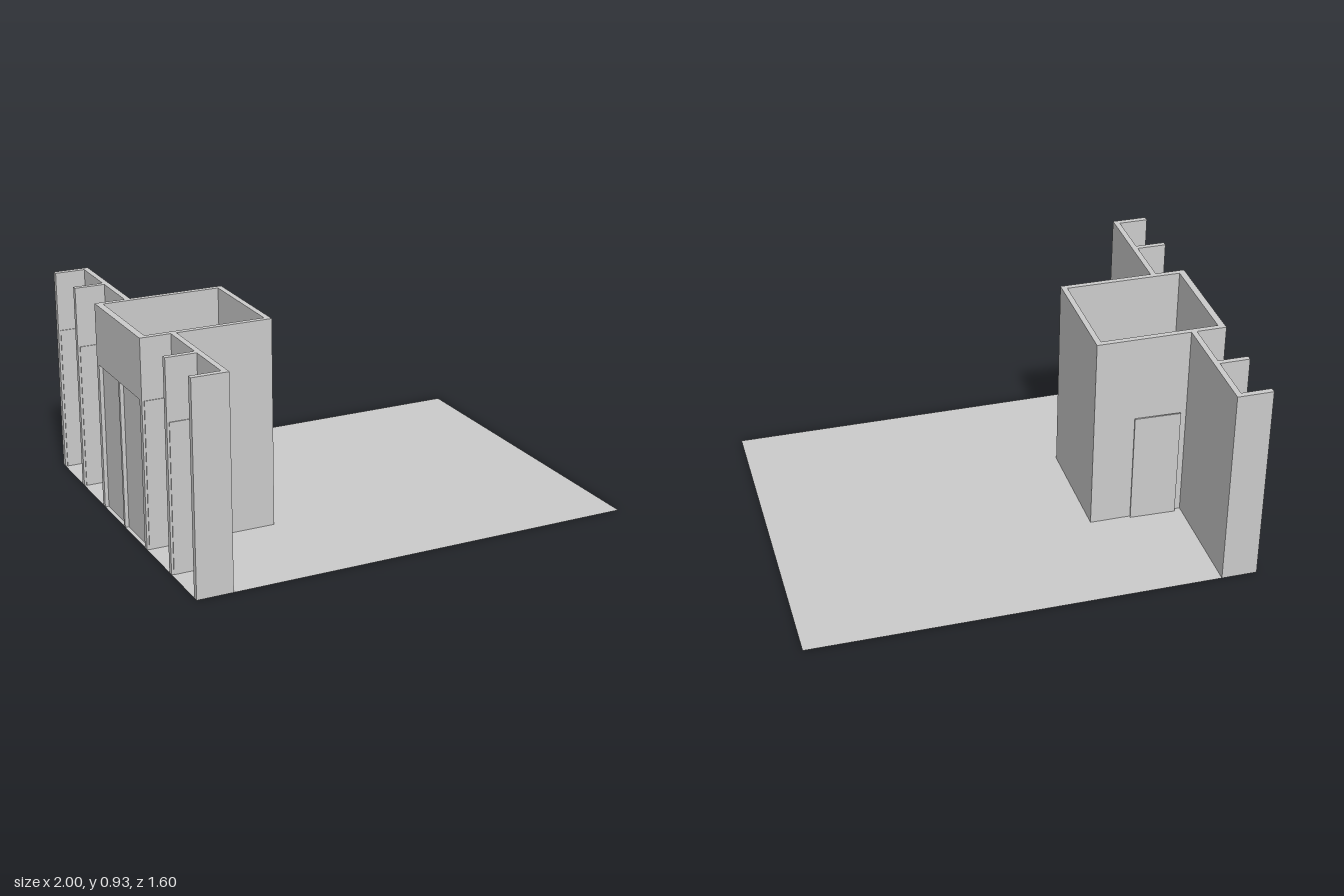
import * as THREE from 'three';

const H = 0.93; // wall height
const D = 0.66; // height of the facade openings
const material = new THREE.MeshStandardMaterial({ color: 0xcccccc, flatShading: true, side: THREE.DoubleSide });

// Box given by its limits along each axis
function block(name, [x0, x1], [y0, y1], [z0, z1]) {
  const mesh = new THREE.Mesh(new THREE.BoxGeometry(x1 - x0, y1 - y0, z1 - z0), material);
  mesh.position.set((x0 + x1) / 2, (y0 + y1) / 2, (z0 + z1) / 2);
  mesh.name = name;
  return mesh;
}

export function createModel() {
  const group = new THREE.Group();
  group.name = 'entranceBuilding';

  // Ground slab
  const floor = new THREE.Mesh(new THREE.PlaneGeometry(2, 1.6).rotateX(-Math.PI / 2), material);
  floor.name = 'floor';
  group.add(floor);

  // Open-topped entrance room
  const room = new THREE.Group();
  room.name = 'entranceRoom';
  room.add(
    block('innerWall', [-0.44, -0.415], [0, H], [-0.265, 0.265]),
    block('sideWall', [-1, -0.44], [0, H], [-0.265, -0.24]),
    block('sideWall', [-1, -0.44], [0, H], [0.24, 0.265]),
    block('lintel', [-1, -0.97], [D, H], [-0.24, 0.24]),
    block('doorPost', [-1, -0.97], [0, D], [-0.008, 0.008])
  );
  // Recessed double door
  for (const s of [-1, 1]) {
    const z = [s * 0.008, s * 0.24].sort((a, b) => a - b);
    room.add(block('doorLeaf', [-0.983, -0.97], [0, D], z));
  }
  group.add(room);

  // Side walls with projecting fins, one wing on each side of the room
  for (const s of [-1, 1]) {
    const wing = new THREE.Group();
    wing.name = s > 0 ? 'frontWing' : 'backWing';
    const span = (a, b) => (s > 0 ? [a, b] : [-b, -a]);
    wing.add(block('wingWall', [-0.865, -0.84], [0, H], span(0.265, 0.8)));
    for (const [a, b] of [[0.513, 0.537], [0.774, 0.8]]) {
      wing.add(block('fin', [-1, -0.865], [0, H], span(a, b)));
    }
    // Thin lining plates on both sides of each bay
    for (const [a, b] of [[0.265, 0.513], [0.537, 0.774]]) {
      wing.add(
        block('bayLining', [-0.99, -0.868], [0, D], span(a, a + 0.004)),
        block('bayLining', [-0.99, -0.868], [0, D], span(b - 0.004, b))
      );
    }
    group.add(wing);
  }

  // Slightly open side door
  const door = block('sideDoor', [-0.81, -0.6], [0, 0.53], [-0.279, -0.272]);
  door.rotation.y = -0.03;
  group.add(door);

  return group;
}
